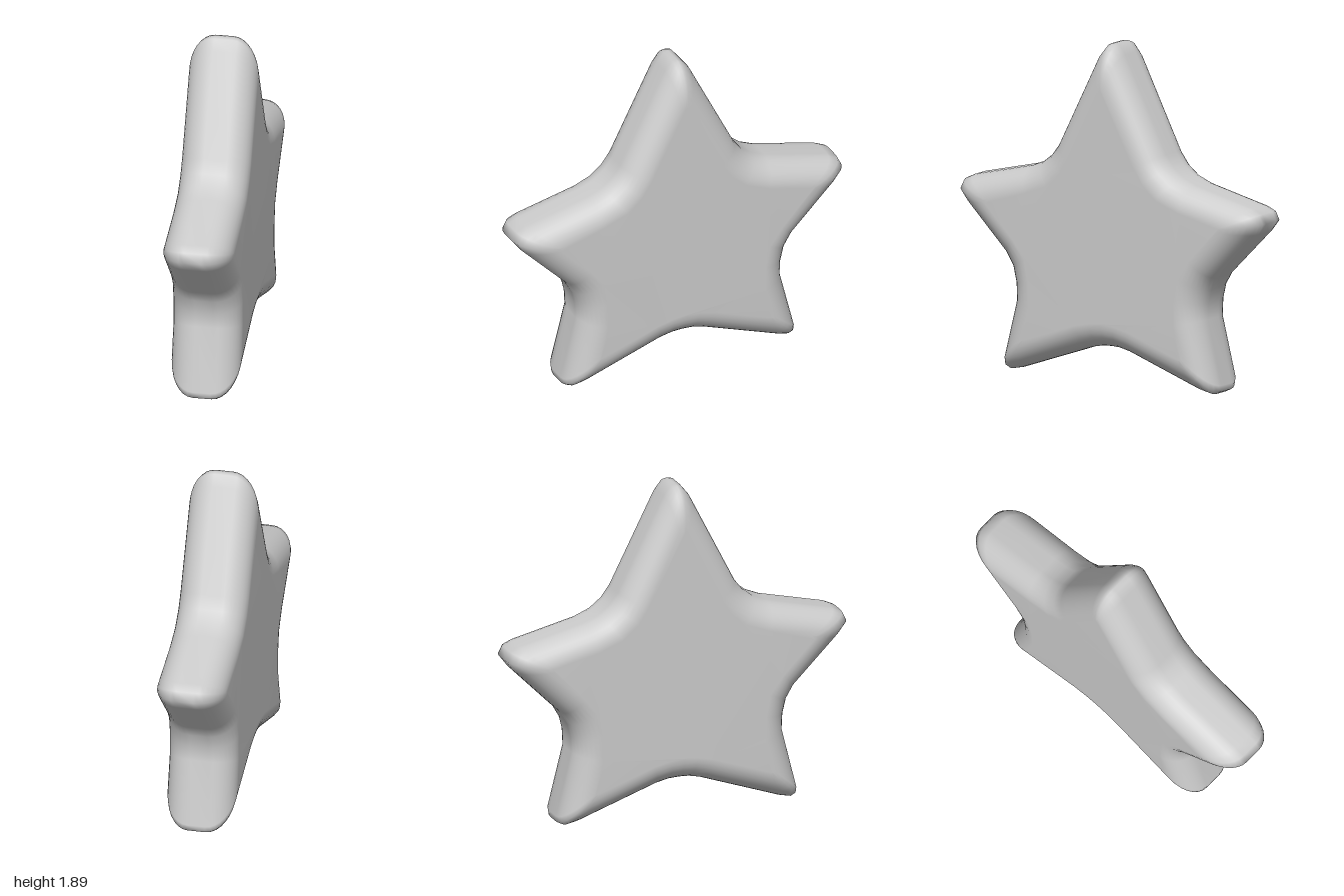
import * as THREE from 'three';

// Half outline as [z, y] of the rim, then [z, y] of the flat face inside it
const HALF = [
  [0, 1.89, 0, 1.66], [0.025, 1.885, 0.005, 1.65], [0.07, 1.83, 0.02, 1.62], // top tip
  [0.34, 1.30, 0.215, 1.236], [0.39, 1.235, 0.27, 1.15],
  [0.455, 1.185, 0.36, 1.07], [0.54, 1.15, 0.507, 1.014],                    // upper notch
  [0.92, 1.06, 0.75, 0.957], [0.975, 1.035, 0.775, 0.955],
  [1, 0.985, 0.78, 0.95], [0.95, 0.92, 0.765, 0.935],                        // side tip
  [0.68, 0.65, 0.581, 0.749], [0.64, 0.58, 0.505, 0.645],
  [0.62, 0.5, 0.48, 0.52], [0.615, 0.41, 0.479, 0.378],                      // lower notch
  [0.705, 0.05, 0.53, 0.20], [0.70, 0.015, 0.525, 0.19],
  [0.67, 0, 0.52, 0.188], [0.60, 0.015, 0.505, 0.197],                       // foot tip
  [0.13, 0.18, 0.176, 0.312], [0.06, 0.195, 0.08, 0.333], [0, 0.198, 0, 0.338], // bottom notch
];
const RIM = 0.05;    // half width of the straight rim
const ROUND = 0.143; // depth of the rounded edge
const STEPS = 8;

function starGeometry() {
  // Mirror the half outline into a closed loop
  const mirrored = HALF.slice(1, -1).reverse().map(([z, y, iz, iy]) => [-z, y, -iz, iy]);
  const loop = [...HALF, ...mirrored];
  const n = loop.length;

  // Elliptical rounding: each ring has an x and an inset from rim to face
  const rings = [];
  for (let i = 0; i <= STEPS; i++) {
    const a = (i / STEPS) * Math.PI / 2;
    rings.push({ x: RIM + ROUND * Math.sin(a), t: 1 - Math.cos(a) });
  }
  const all = [...rings.map(({ x, t }) => ({ x: -x, t })).reverse(), ...rings];

  const positions = [];
  const index = [];
  for (const { x, t } of all) {
    for (const [z, y, iz, iy] of loop) {
      positions.push(x, y + (iy - y) * t, z + (iz - z) * t);
    }
  }
  for (let r = 0; r < all.length - 1; r++) {
    for (let i = 0; i < n; i++) {
      const j = (i + 1) % n;
      const a = r * n + i, b = r * n + j;
      index.push(a, b, b + n, a, b + n, a + n);
    }
  }

  // Flat faces on both sides
  const face = loop.map((p) => new THREE.Vector2(-p[2], p[3]));
  const last = (all.length - 1) * n;
  for (const [a, b, c] of THREE.ShapeUtils.triangulateShape(face, [])) {
    index.push(last + a, last + b, last + c, a, c, b);
  }

  const geometry = new THREE.BufferGeometry();
  geometry.setAttribute('position', new THREE.Float32BufferAttribute(positions, 3));
  geometry.setIndex(index);
  geometry.computeVertexNormals();
  return geometry;
}

export function createModel() {
  const group = new THREE.Group();
  group.name = 'roundedStar';
  const star = new THREE.Mesh(starGeometry(), new THREE.MeshStandardMaterial({ color: 0xcccccc }));
  star.name = 'star';
  group.add(star);
  return group;
}
